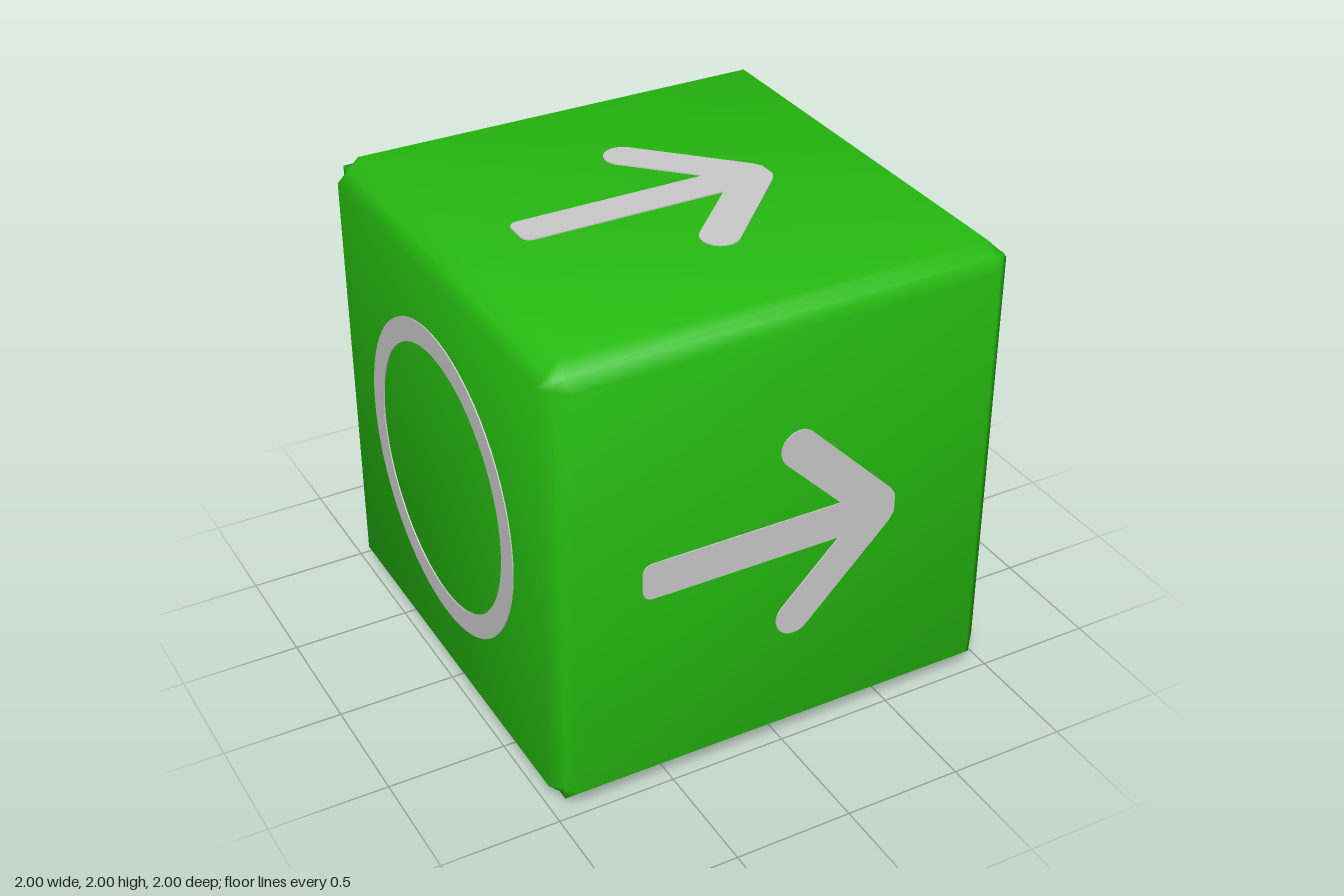
import * as THREE from 'three';

const HALF = 0.995, INNER = 0.9, PLATE = 0.005;

// Cube with 45 degree chamfers: a 3x3x3 box grid whose vertices are moved by how many faces they touch
function chamferedCube() {
  const geo = new THREE.BoxGeometry(2, 2, 2, 3, 3, 3);
  const pos = geo.attributes.position, nor = geo.attributes.normal;
  const normal = new THREE.Vector3();
  for (let i = 0; i < pos.count; i++) {
    const p = [pos.getX(i), pos.getY(i), pos.getZ(i)];
    const outer = p.map(c => Math.abs(c) > 0.9);
    const reach = outer.filter(Boolean).length === 1 ? HALF : (HALF + INNER) / 2;
    pos.setXYZ(i, ...p.map((c, k) => Math.sign(c) * (outer[k] ? reach : INNER)));
    // soft normals, leaning outwards at the face corners
    normal.set(...p.map((c, k) => Math.sign(c) * (outer[k] ? 1 : 0.2))).normalize();
    nor.setXYZ(i, normal.x, normal.y, normal.z);
  }
  return geo;
}

// Round-ended arrow pointing to +x
function arrowShape() {
  const s = new THREE.Shape();
  const q = Math.PI / 4;
  s.moveTo(-0.58, -0.08);
  s.lineTo(0.23, -0.08);
  s.lineTo(-0.022, -0.333);
  s.absarc(0.035, -0.39, 0.08, 3 * q, 7 * q, false);
  s.lineTo(0.457, -0.077);
  s.lineTo(0.48, -0.04);
  s.lineTo(0.48, 0.04);
  s.lineTo(0.457, 0.077);
  s.absarc(0.035, 0.39, 0.08, q, 5 * q, false);
  s.lineTo(0.23, 0.08);
  s.lineTo(-0.58, 0.08);
  s.quadraticCurveTo(-0.63, 0.08, -0.63, 0.03);
  s.lineTo(-0.63, -0.03);
  s.quadraticCurveTo(-0.63, -0.08, -0.58, -0.08);
  return s;
}

function circleShape(radius, hole) {
  const s = new THREE.Shape().absarc(0, 0, radius, 0, Math.PI * 2, false);
  if (hole) s.holes.push(new THREE.Path().absarc(0, 0, hole, 0, Math.PI * 2, true));
  return s;
}

// Thin plate lying on the +z face of the cube
function plate(shape) {
  const geo = new THREE.ExtrudeGeometry(shape, { depth: PLATE, bevelEnabled: false, curveSegments: 32 });
  return geo.translate(0, 0, HALF);
}

export function createModel() {
  const green = new THREE.MeshStandardMaterial({ color: 0x26bc10 });
  green.name = 'green';
  const grey = new THREE.MeshStandardMaterial({ color: 0xcacaca });
  grey.name = 'lightGrey';

  const model = new THREE.Group();
  model.name = 'arrowCube';
  const add = (name, geo, mat) => {
    const mesh = new THREE.Mesh(geo, mat);
    mesh.name = name;
    mesh.position.y = 1;
    model.add(mesh);
    return mesh;
  };

  add('cube', chamferedCube(), green);

  // Four arrows around the x axis, all pointing to +x
  const arrow = plate(arrowShape());
  ['frontArrow', 'bottomArrow', 'backArrow', 'topArrow'].forEach((name, k) => {
    add(name, arrow, grey).rotation.x = k * Math.PI / 2;
  });

  // Full disc where the arrows lead, ring where they start
  add('disc', plate(circleShape(0.475)), grey).rotation.y = Math.PI / 2;
  add('ring', plate(circleShape(0.66, 0.56)), grey).rotation.y = -Math.PI / 2;

  return model;
}
